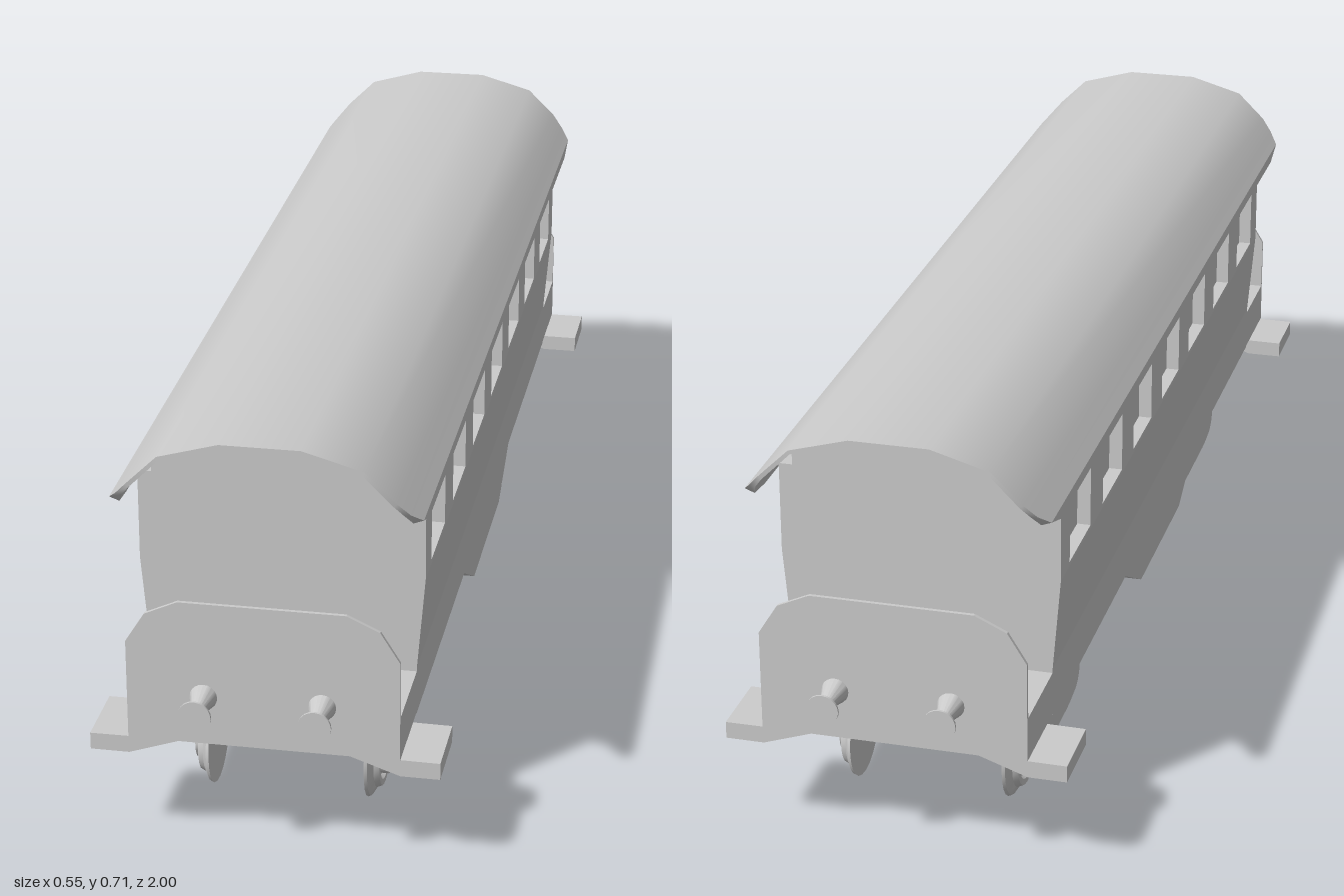
import * as THREE from 'three';
import { toCreasedNormals } from 'three/addons/utils/BufferGeometryUtils.js';

const grey = new THREE.MeshStandardMaterial({ color: 0xcccccc, side: THREE.DoubleSide });

function add(parent, name, geometry, x = 0, y = 0, z = 0) {
  const mesh = new THREE.Mesh(geometry, grey);
  mesh.name = name;
  mesh.position.set(x, y, z);
  parent.add(mesh);
  return mesh;
}

// Full outline from its right half, listed bottom to top
function symmetric(half) {
  const left = half.map(([x, y]) => [-x, y]).reverse();
  return new THREE.Shape([...half, ...left].map(([x, y]) => new THREE.Vector2(x, y)));
}

// Extrusion along z, centred on z = 0
function prism(shape, depth) {
  const g = new THREE.ExtrudeGeometry(shape, { depth, bevelEnabled: false, curveSegments: 10 });
  return g.translate(0, 0, -depth / 2);
}

// Side profile of [z, y] points extruded across x
function crossPrism(points, width) {
  const shape = new THREE.Shape(points.map(([z, y]) => new THREE.Vector2(-z, y)));
  return prism(shape, width).rotateY(Math.PI / 2);
}

// Thin curved roof whose eaves are shortened towards the corners
function roofGeometry() {
  const half = [ // x, y, half length
    [0.242, 0.577, 0.84], [0.242, 0.596, 0.895], [0.226, 0.614, 0.918], [0.207, 0.636, 0.93],
    [0.158, 0.684, 0.93], [0.063, 0.711, 0.93],
  ];
  const inner = [
    [0.229, 0.581, 0.84], [0.226, 0.59, 0.895], [0.216, 0.612, 0.918], [0.202, 0.631, 0.93],
    [0.155, 0.678, 0.93], [0.062, 0.705, 0.93],
  ];
  const mirror = (p) => p.map(([x, y, l]) => [-x, y, l]).reverse();
  const loop = [...half, ...mirror(half), ...mirror(inner).reverse(), ...inner.slice().reverse()];
  const n = loop.length;
  const pos = [], index = [];
  for (const [x, y, l] of loop) pos.push(x, y, l, x, y, -l);
  for (let i = 0; i < n; i++) {
    const a = 2 * i, b = 2 * ((i + 1) % n);
    index.push(a, a + 1, b, b, a + 1, b + 1);
  }
  // End strips join the outer and inner skins
  for (let i = 0; i < n / 2 - 1; i++) {
    const a = 2 * i, b = a + 2, c = 2 * (n - 1 - i), d = c - 2;
    index.push(a, b, c, b, d, c, a + 1, c + 1, b + 1, b + 1, c + 1, d + 1);
  }
  const g = new THREE.BufferGeometry();
  g.setAttribute('position', new THREE.Float32BufferAttribute(pos, 3));
  g.setIndex(index);
  return toCreasedNormals(g, 0.62);
}

function lathe(points, segments = 24) {
  const g = new THREE.LatheGeometry(points.map(([r, y]) => new THREE.Vector2(r, y)), segments);
  return toCreasedNormals(g, 0.6);
}

// Four-wheeled bogie with axles, side frames and a pivot
function makeBogie() {
  const bogie = new THREE.Group();
  bogie.name = 'bogie';
  const wheel = lathe([[0, 0.127], [0.08, 0.127], [0.078, 0.132], [0.064, 0.14], [0.06, 0.149],
    [0.05, 0.149], [0.046, 0.143], [0, 0.143]]).rotateZ(-Math.PI / 2);
  const axle = new THREE.CylinderGeometry(0.017, 0.017, 0.28, 14).rotateZ(Math.PI / 2);
  for (const z of [-0.137, 0.137]) {
    add(bogie, 'axle', axle, 0, 0.083, z);
    for (const side of [1, -1]) {
      add(bogie, 'wheel', wheel, 0, 0.083, z).rotation.y = side > 0 ? 0 : Math.PI;
    }
  }
  // Dropped bar with rounded axle boxes
  const bar = new THREE.Shape();
  bar.moveTo(-0.08, 0.037);
  bar.lineTo(0.08, 0.037);
  bar.quadraticCurveTo(0.11, 0.037, 0.137, 0.043);
  bar.absarc(0.137, 0.083, 0.04, -Math.PI / 2, Math.PI * 0.6, false);
  bar.quadraticCurveTo(0.09, 0.088, 0.06, 0.085);
  bar.lineTo(-0.06, 0.085);
  bar.quadraticCurveTo(-0.09, 0.088, -0.149, 0.121);
  bar.absarc(-0.137, 0.083, 0.04, Math.PI * 0.4, Math.PI * 1.5, false);
  bar.quadraticCurveTo(-0.11, 0.037, -0.08, 0.037);
  const frame = toCreasedNormals(prism(bar, 0.014).rotateY(Math.PI / 2), 0.5);
  for (const side of [1, -1]) add(bogie, 'sideFrame', frame, side * 0.151, 0, 0);
  add(bogie, 'bolster', new THREE.BoxGeometry(0.29, 0.05, 0.1), 0, 0.062, 0);
  add(bogie, 'pivotBase', prism(symmetric([[0.07, 0.085], [0.063, 0.1], [0.043, 0.135], [0.043, 0.15]]), 0.06));
  add(bogie, 'pivot', new THREE.CylinderGeometry(0.03, 0.03, 0.02, 16), 0, 0.156, 0);
  return bogie;
}

// Platform, end panel, buffers and steps of the front end
function makeEnd() {
  const end = new THREE.Group();
  end.name = 'carriageEnd';
  add(end, 'platform', new THREE.BoxGeometry(0.428, 0.073, 0.16), 0, 0.2415, 0.85);
  const panel = symmetric([[0.214, 0.205], [0.214, 0.372], [0.183, 0.422], [0.131, 0.446]]);
  add(end, 'endPanel', prism(panel, 0.006), 0, 0, 0.932);
  const buffer = lathe([[0.022, 0], [0.007, 0.056], [0.026, 0.062], [0.026, 0.066], [0, 0.066]], 20)
    .rotateX(Math.PI / 2);
  const step = new THREE.Shape([[0.13, 0.205], [0.214, 0.176], [0.276, 0.176], [0.276, 0.204]]
    .map(([x, y]) => new THREE.Vector2(x, y)));
  for (const side of [1, -1]) {
    add(end, 'buffer', buffer, side * 0.093, 0.286, 0.934);
    add(end, 'step', prism(step, 0.12), 0, 0, side * 0.872).rotation.y = side > 0 ? 0 : Math.PI;
  }
  // The second step is turned about y, so bring it back to this end
  end.children[end.children.length - 1].position.z = 0.872;
  return end;
}

export function createModel() {
  const model = new THREE.Group();
  model.name = 'railwayCarriage';

  // Body: lower walls, recessed window core and window posts
  const lower = symmetric([[0.214, 0.203], [0.214, 0.285], [0.227, 0.44], [0.227, 0.447]]);
  add(model, 'lowerBody', prism(lower, 1.56));
  const core = symmetric([[0.205, 0.44], [0.205, 0.627], [0.157, 0.678], [0.063, 0.706]]);
  add(model, 'windowCore', prism(core, 1.56));
  const pitch = 0.2187, pane = 0.136;
  const edges = [-0.78];
  for (let i = -3; i <= 3; i++) edges.push(i * pitch - pane / 2, i * pitch + pane / 2);
  edges.push(0.78);
  for (const side of [1, -1]) {
    for (let i = 0; i < edges.length; i += 2) {
      const width = edges[i + 1] - edges[i];
      const post = new THREE.BoxGeometry(0.03, 0.143, width);
      add(model, 'windowPost', post, side * 0.212, 0.5175, (edges[i] + edges[i + 1]) / 2);
    }
  }
  add(model, 'roof', roofGeometry());

  // Underframe: deep belly and a narrow spine over the bogies
  add(model, 'belly', crossPrism([[-0.28, 0.204], [-0.155, 0.137], [0.155, 0.137], [0.28, 0.204]], 0.428));
  add(model, 'spine', crossPrism([[-0.72, 0.204], [-0.595, 0.163], [0.595, 0.163], [0.72, 0.204]], 0.086));

  for (const dir of [1, -1]) {
    const end = makeEnd();
    end.rotation.y = dir > 0 ? 0 : Math.PI;
    model.add(end);
    const bogie = makeBogie();
    bogie.position.z = dir * 0.552;
    model.add(bogie);
  }
  return model;
}
